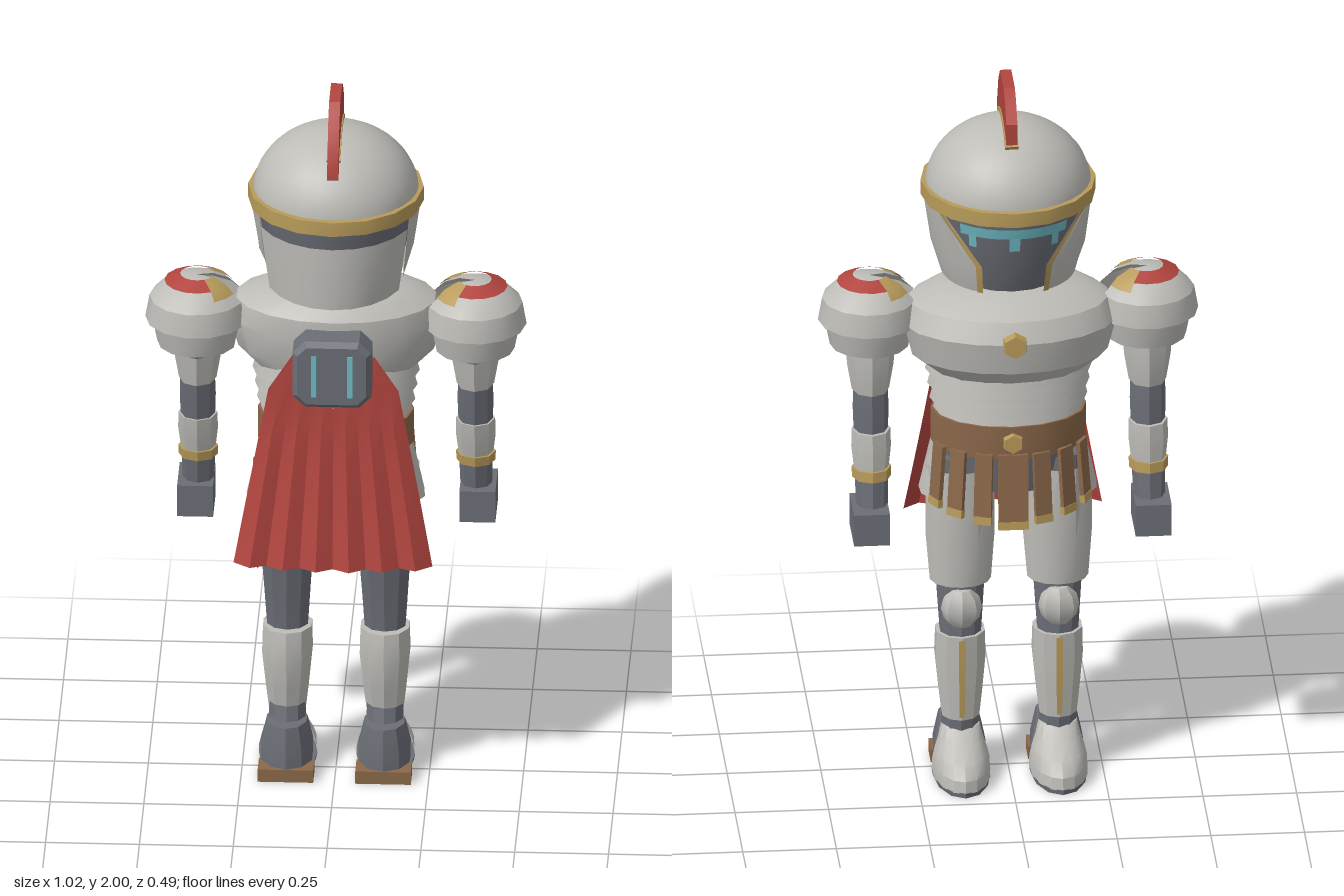
import * as THREE from 'three';
import { toCreasedNormals } from 'three/addons/utils/BufferGeometryUtils.js';

const paint = (name, color) => new THREE.MeshStandardMaterial({ name, color, side: THREE.DoubleSide });
const steel = paint('light steel', 0xbdbcb7);
const iron = paint('dark iron', 0x6b6e76);
const gold = paint('gold trim', 0xb89b5a);
const red = paint('red cloth', 0xb2453f);
const leather = paint('brown leather', 0x8b684a);
const glow = paint('cyan light', 0x70bcc6);
const RAD = Math.PI / 180;

function add(parent, name, geometry, material, x = 0, y = 0, z = 0) {
  const mesh = new THREE.Mesh(toCreasedNormals(geometry, 0.5), material);
  mesh.name = name;
  mesh.position.set(x, y, z);
  parent.add(mesh);
  return mesh;
}

// Skin over elliptical rows [y, rx, rz, cz, from, to]; angles in degrees, 0 = +z, 90 = +x.
function loft(rows, { n = 12, from = 0, to = 360, cap = false } = {}) {
  if (cap) {
    const a = rows[0], b = rows[rows.length - 1];
    rows = [[a[0], 0, 0, a[3]], ...rows, [b[0], 0, 0, b[3]]];
  }
  const pos = [], index = [];
  rows.forEach(([y, rx, rz, cz = 0, a0 = from, a1 = to], j) => {
    for (let i = 0; i <= n; i++) {
      const a = (a0 + (a1 - a0) * i / n) * RAD;
      pos.push(rx * Math.sin(a), y, cz + rz * Math.cos(a));
      if (i < n && j < rows.length - 1) {
        const p = j * (n + 1) + i, q = p + n + 1;
        index.push(p, p + 1, q + 1, p, q + 1, q);
      }
    }
  });
  const g = new THREE.BufferGeometry();
  g.setAttribute('position', new THREE.Float32BufferAttribute(pos, 3));
  g.setIndex(index);
  g.computeVertexNormals();
  return g;
}

// Flat profile in the z-y plane, given a width across x
function slab(points, width) {
  const shape = new THREE.Shape(points.map(([z, y]) => new THREE.Vector2(z, y)));
  return new THREE.ExtrudeGeometry(shape, { depth: width, bevelEnabled: false })
    .translate(0, 0, -width / 2).rotateY(-Math.PI / 2);
}
const domeArc = (a0, a1, grow) => Array.from({ length: 9 }, (_, i) => {
  const a = (a0 + (a1 - a0) * i / 8) * RAD;
  return [(0.222 + grow) * Math.cos(a), 1.7 + (0.19 + grow) * Math.sin(a)];
});

function buildHead() {
  const head = new THREE.Group();
  head.name = 'head';
  add(head, 'neck', loft([[1.38, 0.085, 0.085], [1.48, 0.08, 0.08]]), iron);
  add(head, 'face', loft([[1.46, 0.155, 0.165], [1.56, 0.19, 0.2], [1.69, 0.21, 0.226]], { n: 18, cap: true }), iron);
  add(head, 'helmetDome', new THREE.SphereGeometry(0.222, 32, 12, 0, Math.PI * 2, 0, Math.PI / 2).scale(1, 0.19 / 0.222, 1), steel, 0, 1.7);
  add(head, 'helmetBand', loft([[1.68, 0.21, 0.21], [1.68, 0.234, 0.24], [1.72, 0.234, 0.24], [1.72, 0.21, 0.21]], { n: 16 }), gold);
  add(head, 'neckGuard', loft([[1.46, 0.19, 0.232], [1.56, 0.205, 0.236], [1.64, 0.215, 0.238]], { n: 8, from: -65, to: 65 }), steel);
  // Cheek guards with gilded front edges
  for (const s of [1, -1]) {
    const cheek = [[1.46, 0.18, 0.185, 0, 85, 153], [1.55, 0.207, 0.215, 0, 65, 155], [1.68, 0.226, 0.232, 0, 62, 126]];
    const side = (rows) => rows.map(([y, rx, rz, cz, a, b]) => [y, rx, rz, cz, ...(s > 0 ? [a, b] : [-b, -a])]);
    add(head, 'cheekGuard', loft(side(cheek), { n: 7 }), steel);
    const trim = cheek.map(([y, rx, rz, cz, , b]) => [y, rx + 0.004, rz + 0.004, cz, b - 4, b + 1]);
    add(head, 'cheekTrim', loft(side(trim), { n: 1 }), gold);
    add(head, 'visorEnd', loft([[1.605, 0.206, 0.217, 0, 180 + s * 32 - 3, 180 + s * 32 + 3], [1.64, 0.21, 0.223, 0, 180 + s * 32 - 3, 180 + s * 32 + 3]], { n: 1 }), glow);
  }
  add(head, 'visorSlit', loft([[1.638, 0.209, 0.222], [1.668, 0.214, 0.229]], { n: 8, from: 138, to: 222 }), glow);
  add(head, 'visorNose', loft([[1.6, 0.205, 0.216], [1.64, 0.21, 0.223]], { n: 1, from: 176, to: 184 }), glow);
  // Crest
  add(head, 'crest', slab([[0.18, 1.82], [0.175, 1.86], [0.13, 1.95], [0.075, 2], [-0.04, 2], [-0.075, 1.98], [-0.125, 1.93],
    [-0.125, 1.86], ...domeArc(122, 38, -0.01)], 0.03), red);
  add(head, 'crestBase', slab([...domeArc(52, 124, 0.012), ...domeArc(124, 52, -0.01)], 0.036), gold);
  return head;
}

function buildTorso() {
  const torso = new THREE.Group();
  torso.name = 'torso';
  add(torso, 'breastplate', loft([[1.19, 0.21, 0.15, -0.02], [1.24, 0.265, 0.18, -0.035], [1.33, 0.288, 0.195, -0.035],
    [1.385, 0.268, 0.18, -0.022], [1.42, 0.2, 0.14, -0.01], [1.435, 0.1, 0.1, 0]], { n: 18, cap: true }), steel);
  // Overlapping waist bands
  for (let i = 0; i < 4; i++) {
    const y = 1.045 + i * 0.043, r = i * 0.006;
    add(torso, 'waistBand', loft([[y, 0.205 + r, 0.152 + r, -0.01], [y + 0.05, 0.192 + r, 0.14 + r, -0.01]], { n: 16, cap: true }), steel);
  }
  add(torso, 'belt', loft([[0.965, 0.208, 0.15, -0.01], [1.06, 0.208, 0.153, -0.01]], { n: 16, cap: true }), leather);
  add(torso, 'pelvis', loft([[0.84, 0.17, 0.1], [0.98, 0.19, 0.125]], { cap: true }), iron);
  add(torso, 'chestBadge', new THREE.CylinderGeometry(0.032, 0.036, 0.025, 6).rotateX(-Math.PI / 2), gold, 0, 1.33, -0.232);
  add(torso, 'buckle', new THREE.CylinderGeometry(0.026, 0.03, 0.02, 6).rotateX(-Math.PI / 2), gold, 0, 1.015, -0.166);
  // Leather straps with gold tips around the front
  for (let i = -3; i <= 3; i++) {
    const strap = new THREE.Group(), a = (180 + i * 21) * RAD;
    const length = 0.21 - Math.abs(i) * 0.012, w = i ? 0.048 : 0.08;
    strap.name = 'skirtStrap';
    strap.position.set(0.212 * Math.sin(a), 0.98, -0.01 + 0.152 * Math.cos(a));
    strap.rotation.set(-0.08, a, 0, 'YXZ');
    add(strap, 'strap', new THREE.BoxGeometry(w, length, 0.012), leather, 0, -length / 2);
    add(strap, 'strapTip', new THREE.BoxGeometry(w + 0.002, 0.022, 0.015), gold, 0, -length + 0.01);
    torso.add(strap);
  }
  for (const s of [1, -1]) {
    add(torso, 'hipPlate', loft([[0.815, 0.24, 0.14], [0.97, 0.205, 0.14]], { n: 4, from: s * 82 - 40, to: s * 82 + 40 }), steel);
  }
  return torso;
}

function buildBack() {
  const back = new THREE.Group();
  back.name = 'back';
  // Pleated cape widening to the hem
  const cape = new THREE.PlaneGeometry(2, 1, 12, 6);
  const p = cape.attributes.position;
  for (let i = 0; i < p.count; i++) {
    const u = p.getX(i), v = 0.5 - p.getY(i), col = Math.round((u + 1) * 6);
    const half = v === 0 ? 0.11 : 0.155 + 0.11 * v;
    const fold = (col % 2 ? 1 : -1) * 0.012 * v;
    p.setXYZ(i, u * half, 1.285 - 0.605 * v, 0.152 + 0.06 * v * v + fold - 0.03 * u * u * v);
  }
  cape.computeVertexNormals();
  add(back, 'cape', cape, red);
  // Backpack with chamfered corners
  const w = 0.092, h = 0.083, c = 0.025;
  const outline = new THREE.Shape([[-w + c, -h], [w - c, -h], [w, -h + c], [w, h - c], [w - c, h], [-w + c, h], [-w, h - c], [-w, -h + c]]
    .map(([x, y]) => new THREE.Vector2(x, y)));
  const pack = new THREE.ExtrudeGeometry(outline, { depth: 0.075, bevelThickness: 0.015, bevelSize: 0.013, bevelSegments: 1 });
  add(back, 'backpack', pack, iron, 0, 1.267, 0.15);
  for (const s of [1, -1]) add(back, 'packLight', new THREE.BoxGeometry(0.014, 0.12, 0.006), glow, s * 0.048, 1.267, 0.241);
  return back;
}

function buildArm(s) {
  const arm = new THREE.Group();
  arm.name = s > 0 ? 'leftArm' : 'rightArm';
  arm.position.x = s * 0.37;
  const ring = { n: 8, cap: true };
  add(arm, 'shoulder', loft([[1.22, 0.06, 0.065, -0.015], [1.38, 0.07, 0.07]], ring), iron);
  add(arm, 'upperArm', loft([[1.13, 0.05, 0.06, -0.03], [1.2, 0.062, 0.074, -0.028], [1.28, 0.068, 0.08, -0.02]], ring), steel);
  add(arm, 'elbow', loft([[0.99, 0.045, 0.047, -0.045], [1.08, 0.048, 0.054, -0.037], [1.14, 0.046, 0.055, -0.03]], ring), iron);
  add(arm, 'forearm', loft([[0.9, 0.045, 0.044, -0.062], [0.97, 0.053, 0.056, -0.052], [1.02, 0.052, 0.058, -0.045]], ring), steel);
  add(arm, 'bracelet', loft([[0.888, 0.052, 0.052, -0.064], [0.916, 0.053, 0.053, -0.06]], ring), gold);
  add(arm, 'wrist', loft([[0.8, 0.042, 0.044, -0.08], [0.9, 0.045, 0.046, -0.064]], ring), iron);
  add(arm, 'hand', new THREE.BoxGeometry(0.096, 0.09, 0.145), iron, s * 0.006, 0.77, -0.085);
  // Layered shoulder guard, notched toward the neck
  const out = s * 90, span = { n: 12, from: out - 160, to: out + 160 };
  const round = (rows) => rows.map(([y, r]) => [y, r, r]);
  add(arm, 'lowerShoulderPlate', loft(round([[1.25, 0.106], [1.34, 0.124]]), span), steel);
  add(arm, 'upperShoulderPlate', loft(round([[1.322, 0.138], [1.385, 0.127], [1.425, 0.088], [1.444, 0.045], [1.447, 0]]), span), steel);
  const inlay = round([[1.431, 0.087], [1.45, 0.045]]);
  add(arm, 'shoulderInlay', loft(inlay, { n: 10, from: out - 118, to: out + 118 }), red);
  const corner = round([[1.41, 0.107], [1.431, 0.087], [1.45, 0.045]]);
  for (const t of [1, -1]) add(arm, 'shoulderCorner', loft(corner, { n: 2, from: out + t * 138 - 20, to: out + t * 138 + 20 }), gold);
  return arm;
}

function buildLeg(s) {
  const leg = new THREE.Group();
  leg.name = s > 0 ? 'leftLeg' : 'rightLeg';
  leg.position.x = s * 0.13;
  const ring = { n: 10, cap: true }, front = { n: 6, from: 95, to: 265 };
  add(leg, 'thigh', loft([[0.4, 0.056, 0.055, -0.03], [0.52, 0.064, 0.058, -0.022], [0.75, 0.08, 0.08, 0], [0.93, 0.078, 0.09, 0.005]], ring), iron);
  add(leg, 'thighPlate', loft([[0.565, 0.082, 0.07, -0.028], [0.7, 0.093, 0.086, -0.015], [0.9, 0.092, 0.094, -0.01]], front), steel);
  add(leg, 'kneeCap', new THREE.SphereGeometry(0.055, 8, 6).scale(1, 1.1, 0.75), steel, 0, 0.495, -0.068);
  add(leg, 'greave', loft([[0.17, 0.052, 0.056, -0.03], [0.24, 0.06, 0.066, -0.025], [0.34, 0.07, 0.08, -0.016], [0.415, 0.068, 0.074, -0.022]], ring), steel);
  add(leg, 'greaveStripe', loft([[0.18, 0.056, 0.061, -0.03], [0.24, 0.064, 0.071, -0.025], [0.34, 0.074, 0.085, -0.016], [0.41, 0.072, 0.079, -0.022]],
    { n: 1, from: 173, to: 187 }), gold);
  add(leg, 'ankle', loft([[0.12, 0.052, 0.062, -0.01], [0.19, 0.05, 0.054, -0.02]], ring), iron);
  // Boot, armoured toe, sole and heel
  add(leg, 'boot', loft([[0.012, 0.07, 0.09, 0.008], [0.08, 0.072, 0.09, 0.008], [0.15, 0.056, 0.07, 0.015]], ring), iron);
  add(leg, 'toeArmour', loft([[0.012, 0.078, 0.155, -0.057], [0.045, 0.077, 0.15, -0.057], [0.075, 0.07, 0.125, -0.05], [0.105, 0.06, 0.07, -0.04],
    [0.14, 0.052, 0.035, -0.03], [0.142, 0, 0, -0.03]], { n: 8, from: 85, to: 275 }), steel);
  add(leg, 'sole', loft([[0, 0.075, 0.155, -0.057], [0.014, 0.078, 0.157, -0.057]], { n: 12, cap: true }), iron);
  add(leg, 'heel', new THREE.BoxGeometry(0.148, 0.036, 0.075), leather, 0, 0.018, 0.063);
  return leg;
}

export function createModel() {
  const model = new THREE.Group();
  model.name = 'armouredKnight';
  model.add(buildHead(), buildTorso(), buildBack());
  for (const s of [1, -1]) model.add(buildArm(s), buildLeg(s));
  return model;
}
